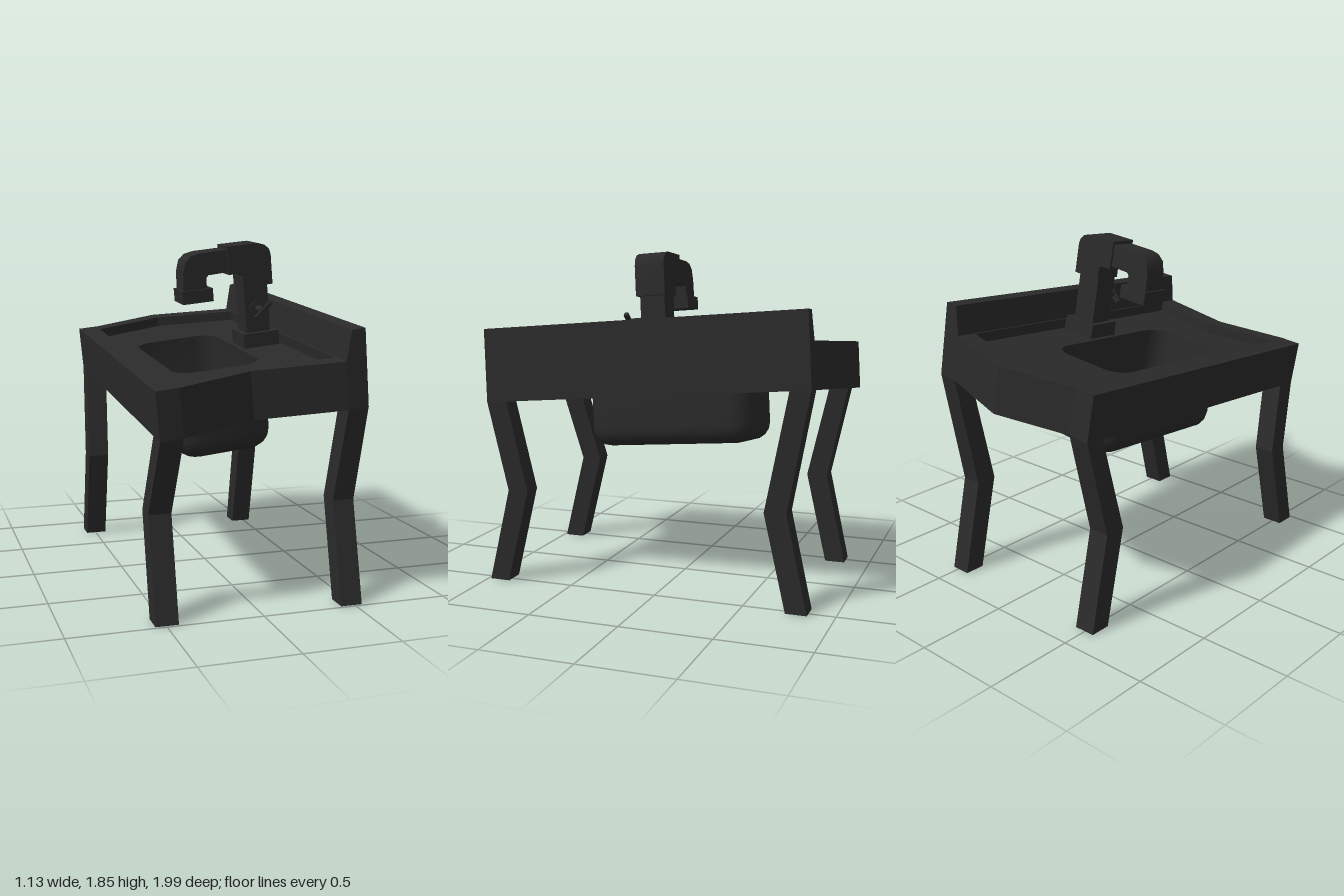
import * as THREE from 'three';
import { toCreasedNormals } from 'three/addons/utils/BufferGeometryUtils.js';

const V2 = (p) => new THREE.Vector2(p[0], p[1]);
const polygon = (pts) => new THREE.Shape(pts.map(V2));

// Rounded rectangle outline, counter-clockwise, centred on (cx, cz)
function roundedRect(cx, cz, w, h, r, steps = 5) {
  const pts = [];
  [[1, 1], [-1, 1], [-1, -1], [1, -1]].forEach(([sx, sz], k) => {
    for (let i = 0; i <= steps; i++) {
      const a = (k + i / steps) * Math.PI / 2;
      pts.push([cx + sx * (w - r) + r * Math.cos(a), cz + sz * (h - r) + r * Math.sin(a)]);
    }
  });
  return pts;
}

// Skin over closed rings of equal length, capped at both ends
function loft(rings, crease) {
  const n = rings[0].length, pos = [], idx = [];
  rings.forEach((r) => r.forEach((p) => pos.push(p[0], p[1], p[2])));
  for (let k = 0; k < rings.length - 1; k++) {
    for (let i = 0; i < n; i++) {
      const a = k * n + i, b = k * n + (i + 1) % n;
      idx.push(a, a + n, b, b, a + n, b + n);
    }
  }
  const last = (rings.length - 1) * n;
  for (let i = 1; i < n - 1; i++) {
    idx.push(0, i, i + 1, last, last + i + 1, last + i);
  }
  const g = new THREE.BufferGeometry();
  g.setAttribute('position', new THREE.Float32BufferAttribute(pos, 3));
  g.setIndex(idx);
  return toCreasedNormals(g, crease);
}

// Plan shape (x, z) extruded downward from height top
function slab(shape, top, depth) {
  return new THREE.ExtrudeGeometry(shape, { depth, bevelEnabled: false })
    .rotateX(Math.PI / 2).translate(0, top, 0);
}

// Side profile (x, y) extruded along z around the centre z
function profile(pts, z, half) {
  const g = new THREE.ExtrudeGeometry(polygon(pts), { depth: half * 2, bevelEnabled: false });
  return toCreasedNormals(g.translate(0, 0, z - half), 0.6);
}

export function createModel() {
  const model = new THREE.Group();
  model.name = 'washbasin';
  const charcoal = new THREE.MeshStandardMaterial({ color: 0x2a2a2a });
  charcoal.name = 'charcoal';
  const add = (parent, name, geometry) => {
    const m = new THREE.Mesh(geometry, charcoal);
    m.name = name;
    parent.add(m);
  };
  const box = (x0, x1, y0, y1, z0, z1) => new THREE.BoxGeometry(x1 - x0, y1 - y0, z1 - z0)
    .translate((x0 + x1) / 2, (y0 + y1) / 2, (z0 + z1) / 2);

  // Tilted top: its plane y = 0 is the top of the rim
  const top = new THREE.Group();
  top.name = 'basinTop';
  top.position.set(0, 1.292, 0);
  top.rotation.set(0.082, 0, 0.11, 'ZXY');
  model.add(top);
  top.updateMatrix();

  // Deep rim, pointed at the back and notched at the front; the hole winds the other way
  const inner = [[-0.45, 0.87], [-0.045, 0.768], [0.41, 0.87], [0.41, -0.73], [-0.045, -0.86], [-0.45, -0.73]];
  const rim = polygon([[-0.56, 0.987], [-0.44, 0.987], [-0.045, 0.884], [0.42, 0.987], [0.53, 0.987],
    [0.53, -0.842], [0.42, -0.842], [-0.045, -0.98], [-0.44, -0.842], [-0.56, -0.842]]);
  rim.holes.push(new THREE.Path(inner.map(V2).reverse()));
  add(top, 'rim', slab(rim, 0, 0.25));

  // Raised board along one long side
  add(top, 'splashboard', profile([[0.42, -0.002], [0.53, -0.002], [0.53, 0.155], [0.458, 0.155]], 0.0725, 0.9145));

  // Recessed counter with the bowl opening
  const counter = polygon(inner);
  counter.holes.push(new THREE.Path(roundedRect(-0.08, 0.069, 0.24, 0.447, 0.11).map(V2)));
  add(top, 'counter', slab(counter, -0.055, 0.03));

  // Bowl: outer skin upward, then inner skin downward
  const ring = (cx, cz, w, h, r, y) => roundedRect(cx, cz, w, h, r).map(([x, z]) => [x, y, z]);
  const outer = [], inside = [];
  for (let i = 0; i <= 4; i++) {
    const a = (i / 4) * Math.PI / 2, d = 0.1 * (1 - Math.sin(a)), drop = 0.1 * (1 - Math.cos(a));
    outer.push(ring(-0.078, 0.066, 0.267 - d, 0.485 - d, 0.13 - d, -0.53 + drop));
    inside.unshift(ring(-0.079, 0.067, 0.237 - d, 0.444 - d, 0.11 - d, -0.505 + drop));
  }
  add(top, 'bowl', loft([...outer, ring(-0.078, 0.066, 0.267, 0.485, 0.13, -0.08),
    ring(-0.08, 0.069, 0.24, 0.447, 0.11, -0.056), ...inside], 0.6));

  // Tap made of square pipe
  const tap = new THREE.Group();
  tap.name = 'tap';
  top.add(tap);
  const z = 0.05;
  add(tap, 'tapBase', box(0.185, 0.395, -0.06, 0.026, z - 0.1, z + 0.1));
  add(tap, 'tapColumn', box(0.215, 0.355, 0.02, 0.3, z - 0.07, z + 0.07));
  add(tap, 'tapElbow', profile([[0.21, 0.288], [0.383, 0.288], [0.383, 0.45], [0.376, 0.483], [0.35, 0.51],
    [0.305, 0.523], [0.13, 0.523], [0.13, 0.367], [0.195, 0.367], [0.21, 0.352]], z, 0.083));
  add(tap, 'tapSpout', profile([[0.002, 0.3], [0.002, 0.362], [0.015, 0.378], [0.14, 0.382], [0.14, 0.505],
    [-0.025, 0.503], [-0.075, 0.493], [-0.11, 0.463], [-0.127, 0.405], [-0.133, 0.3]], z, 0.07));
  add(tap, 'tapNozzle', box(-0.145, 0.03, 0.235, 0.307, z - 0.087, z + 0.087));

  // Turning handle on the front of the column
  const handle = new THREE.Group();
  handle.name = 'tapHandle';
  handle.position.set(0.288, 0.16, z + 0.07);
  handle.rotation.z = 0.7;
  tap.add(handle);
  const round = (r, z0, z1) => new THREE.CylinderGeometry(r, r, z1 - z0, 16)
    .rotateX(Math.PI / 2).translate(0, 0, (z0 + z1) / 2);
  add(handle, 'handleCollar', round(0.045, 0, 0.012));
  add(handle, 'handleStem', round(0.018, 0, 0.09));
  add(handle, 'handleBar', box(-0.062, 0.062, -0.011, 0.011, 0.084, 0.106));

  // Bent legs, reaching from the tilted rim to a level floor
  const legs = [
    ['frontLeftLeg', [0.42, 0.53], [0.867, 0.987], [0.425, 0.54], [0.74, 0.857], [0.87, 0.985]],
    ['frontRightLeg', [-0.56, -0.44], [0.867, 0.987], [-0.555, -0.437], [0.74, 0.857], [0.87, 0.985]],
    ['backLeftLeg', [0.42, 0.53], [-0.842, -0.73], [0.425, 0.54], [-0.74, -0.62], [-0.855, -0.74]],
    ['backRightLeg', [-0.56, -0.44], [-0.842, -0.73], [-0.555, -0.437], [-0.74, -0.62], [-0.855, -0.74]],
  ];
  const corners = (x, y, q) => [[x[1], y, q[1]], [x[0], y, q[1]], [x[0], y, q[0]], [x[1], y, q[0]]];
  for (const [name, topX, topZ, x, kneeZ, footZ] of legs) {
    const head = corners(topX, -0.248, topZ)
      .map((p) => new THREE.Vector3(...p).applyMatrix4(top.matrix).toArray());
    add(model, name, loft([corners(x, 0, footZ), corners(x, 0.525, kneeZ), head], 0.1));
  }
  return model;
}
